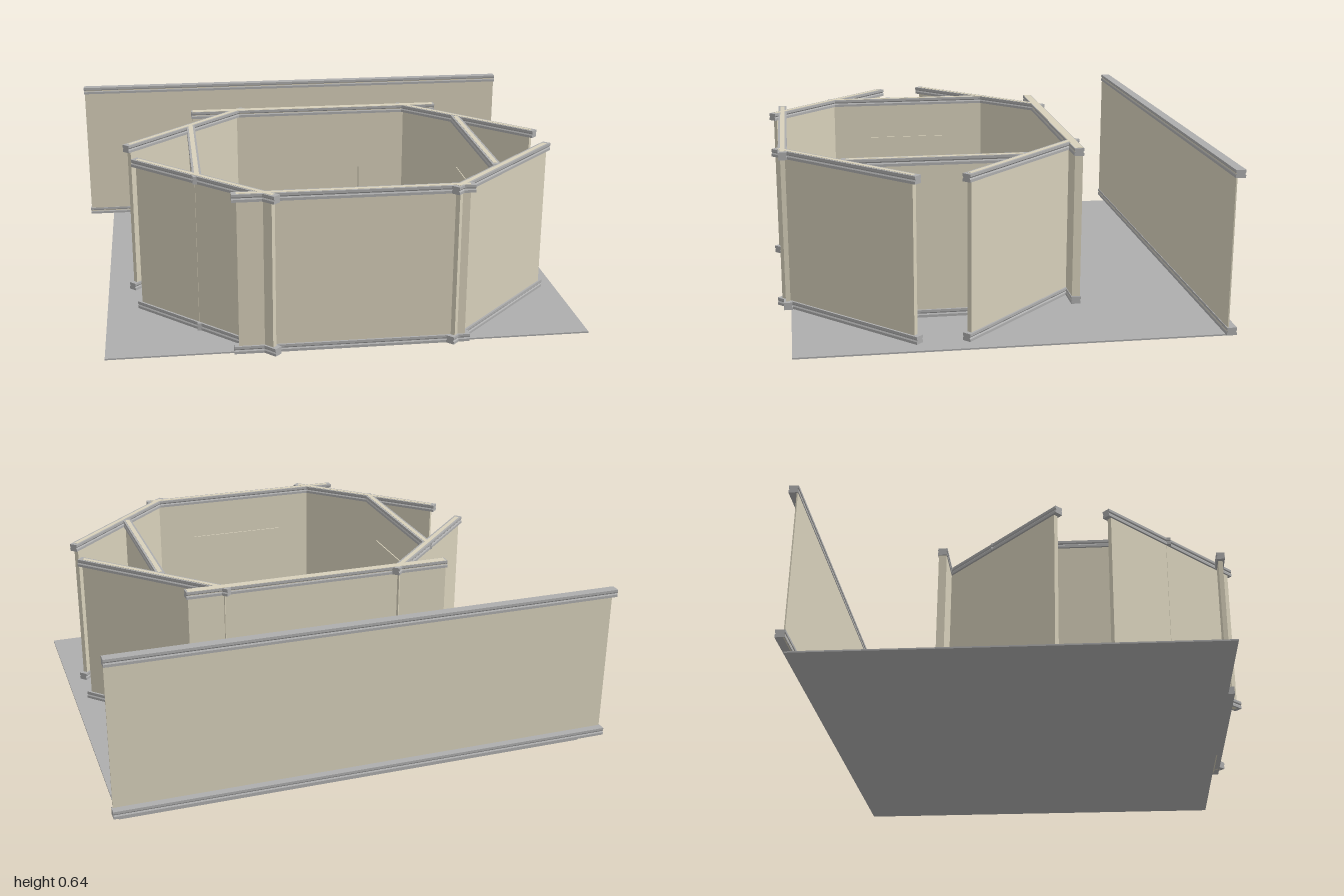
import * as THREE from 'three';

export function createModel() {
  const model = new THREE.Group();
  model.name = 'walledRoom';

  const paint = (name, color) => {
    const m = new THREE.MeshStandardMaterial({ color });
    m.name = name;
    return m;
  };
  const plaster = paint('beigePlaster', 0xd8d1bb);
  const trim = paint('greyTrim', 0xaeaeae);
  const dark = paint('darkGrey', 0x55534e);

  const add = (parent, name, geometry, material, x = 0, y = 0, z = 0) => {
    const mesh = new THREE.Mesh(geometry, material);
    mesh.name = name;
    mesh.position.set(x, y, z);
    parent.add(mesh);
    return mesh;
  };
  const box = (parent, name, material, w, h, d, x, y, z) =>
    add(parent, name, new THREE.BoxGeometry(w, h, d), material, x, y, z);

  // Rail with a shallow groove along both sides, running along local x
  const rail = (parent, name, x0, x1, y, z, width) => {
    const w = width / 2, h = 0.015, g = 0.005;
    const profile = new THREE.Shape([
      [-w, -h], [w, -h], [w, -g], [w - 0.004, 0], [w, g], [w, h],
      [-w, h], [-w, g], [-w + 0.004, 0], [-w, -g],
    ].map(([a, b]) => new THREE.Vector2(a, b)));
    const geo = new THREE.ExtrudeGeometry(profile, { depth: x1 - x0, bevelEnabled: false });
    geo.rotateY(Math.PI / 2);
    add(parent, name, geo, trim, x0, y, z);
  };

  // Wall between two floor points: panel plus top and bottom rails, optional doorway
  const wall = (name, x1, z1, x2, z2, o = {}) => {
    const { thick = 0.018, width = 0.034, inset = 0.018, panelZ = 0, railZ = 0, top = 0.643, door } = o;
    const group = new THREE.Group();
    group.name = name;
    const half = Math.hypot(x2 - x1, z2 - z1) / 2;
    group.position.set((x1 + x2) / 2, 0, (z1 + z2) / 2);
    group.rotation.y = -Math.atan2(z2 - z1, x2 - x1);
    model.add(group);

    const e = half - inset;
    const pts = [[-e, 0.008]];
    if (door) pts.push([door[0], 0.008], [door[0], door[2]], [door[1], door[2]], [door[1], 0.008]);
    pts.push([e, 0.008], [e, top], [-e, top]);
    const shape = new THREE.Shape(pts.map(([a, b]) => new THREE.Vector2(a, b)));
    const geo = new THREE.ExtrudeGeometry(shape, { depth: thick, bevelEnabled: false });
    add(group, 'panel', geo, plaster, 0, 0, panelZ - thick / 2);

    rail(group, 'topRail', -half, half, 0.627, railZ, width);
    const spans = door ? [[-half, door[0]], [door[1], half]] : [[-half, half]];
    for (const [a, b] of spans) rail(group, 'bottomRail', a, b, 0.023, railZ, width);
    return group;
  };

  // Floor slab
  box(model, 'floor', trim, 1.87, 0.006, 1.63, 0.045, 0.003, -0.035);

  // Long wall standing apart at the back
  wall('rearScreen', -1, -0.838, 1, -0.838,
    { thick: 0.005, width: 0.038, inset: 0.004, panelZ: 0.014, top: 0.635 });

  // Ring of eight walls
  wall('backWall', -0.508, -0.34, 0.588, -0.34,
    { thick: 0.032, width: 0.038, inset: 0.006, door: [-0.175, 0.205, 0.36] });
  wall('frontWall', -0.406, 0.791, 0.497, 0.791);
  wall('leftWall', 0.636, -0.13, 0.636, 0.577);
  wall('rightWall', -0.519, -0.14, -0.519, 0.583);
  wall('backRightDiagonal', -0.79, 0.145, -0.275, -0.368);
  wall('backLeftDiagonal', 0.417, -0.365, 0.915, 0.145);
  wall('frontRightDiagonal', -0.755, 0.325, -0.243, 0.835);
  wall('frontLeftDiagonal', 0.417, 0.82, 0.915, 0.317);

  // Thin details on the inner wall faces
  box(model, 'leftDoorPlate', plaster, 0.006, 0.43, 0.44, 0.6265, 0.225, 0.2);
  box(model, 'frontLedge', plaster, 0.42, 0.006, 0.006, 0.07, 0.445, 0.78);
  box(model, 'rightLedge', plaster, 0.006, 0.006, 0.4, -0.508, 0.46, 0.22);

  // Small pedestal in the middle of the room
  const pedestal = new THREE.Group();
  pedestal.name = 'pedestal';
  pedestal.position.set(0.043, 0, 0.177);
  model.add(pedestal);
  box(pedestal, 'base', trim, 0.1, 0.03, 0.1, 0, 0.021, 0);
  box(pedestal, 'column', plaster, 0.064, 0.14, 0.064, 0, 0.1, 0);
  box(pedestal, 'cap', trim, 0.1, 0.03, 0.1, 0, 0.175, 0);
  box(pedestal, 'capInset', dark, 0.078, 0.004, 0.078, 0, 0.191, 0);
  box(pedestal, 'capTop', plaster, 0.06, 0.006, 0.06, 0, 0.193, 0);
  box(pedestal, 'token', dark, 0.012, 0.012, 0.028, 0, 0.201, 0).rotation.y = 0.5;

  return model;
}
